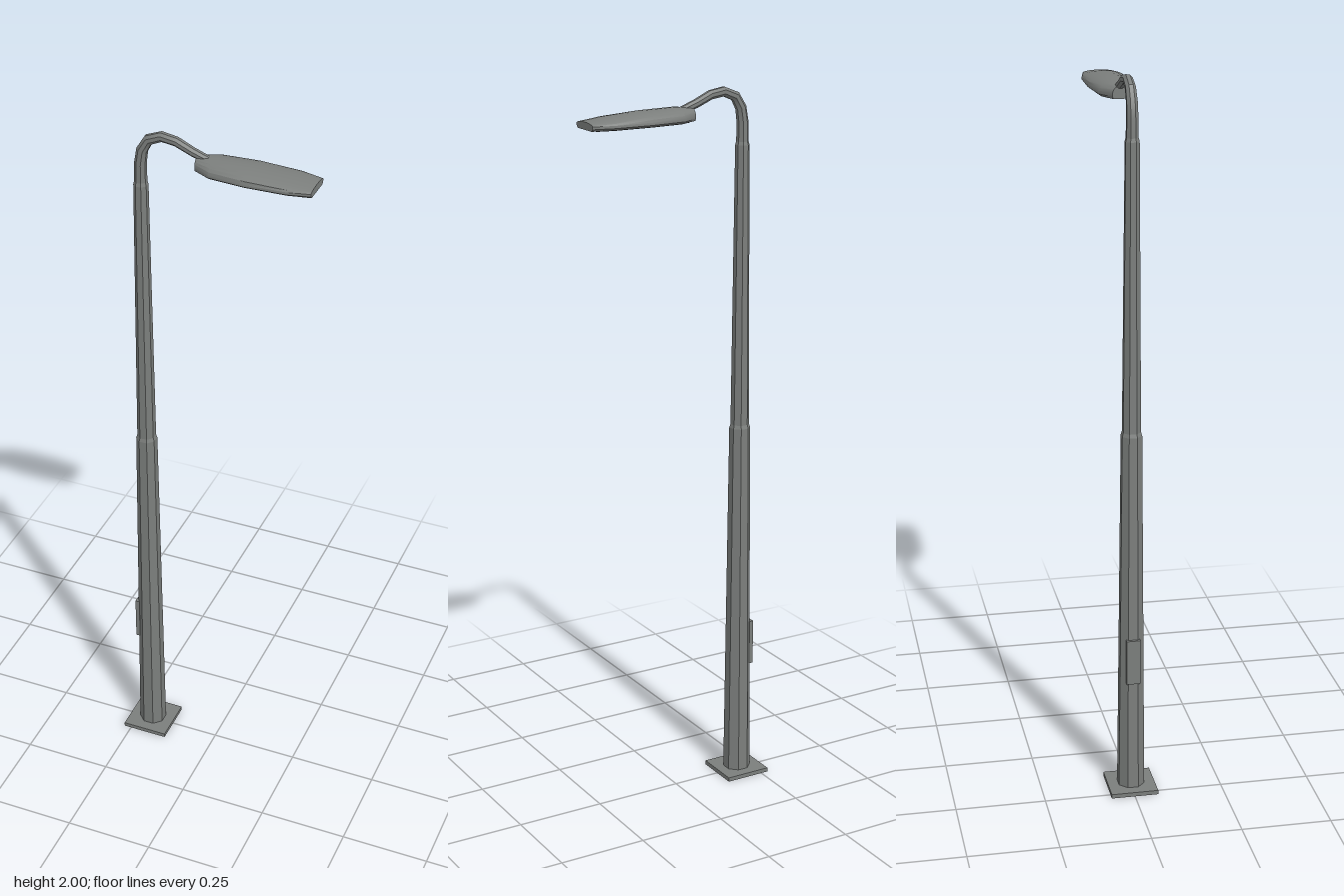
import * as THREE from 'three';
import { toCreasedNormals } from 'three/addons/utils/BufferGeometryUtils.js';

const POLE_X = -0.205;

// Closed skin with end caps over rings of [x, y, z], all with the same point count
function loft(rings) {
  const n = rings[0].length, last = (rings.length - 1) * n, index = [];
  for (let i = 0; i < rings.length - 1; i++) {
    for (let j = 0; j < n; j++) {
      const a = i * n + j, b = i * n + (j + 1) % n;
      index.push(a, b, a + n, b, b + n, a + n);
    }
  }
  for (let j = 1; j < n - 1; j++) index.push(0, j + 1, j, last, last + j, last + j + 1);
  const g = new THREE.BufferGeometry();
  g.setAttribute('position', new THREE.Float32BufferAttribute(rings.flat(2), 3));
  g.setIndex(index);
  return g;
}

export function createModel() {
  const group = new THREE.Group();
  const metal = new THREE.MeshStandardMaterial({ color: 0x7b7e7c });
  const glass = new THREE.MeshStandardMaterial({ color: 0x1a1b1b });

  const add = (name, geometry, material = metal, x = 0, y = 0, z = 0) => {
    const mesh = new THREE.Mesh(toCreasedNormals(geometry, 0.5), material);
    mesh.name = name;
    mesh.position.set(x, y, z);
    group.add(mesh);
  };

  // Octagonal pole section; radii are measured to the flats
  const section = (name, r0, r1, y0, y1) => {
    const k = 1 / Math.cos(Math.PI / 8);
    const g = new THREE.CylinderGeometry(r1 * k, r0 * k, y1 - y0, 8);
    g.rotateY(Math.PI / 8);
    add(name, g, metal, POLE_X, (y0 + y1) / 2);
  };

  // Foot and pole
  add('basePlate', new THREE.BoxGeometry(0.132, 0.012, 0.132), metal, POLE_X, 0.006);
  section('lowerPole', 0.036, 0.027, 0.012, 1.05);
  section('poleJoint', 0.027, 0.024, 1.05, 1.06);
  section('upperPole', 0.024, 0.018, 1.06, 1.84);
  section('poleCollar', 0.018, 0.0155, 1.84, 1.85);
  add('serviceDoor', new THREE.BoxGeometry(0.012, 0.13, 0.038), metal, POLE_X - 0.034, 0.4);

  // Curved arm, tapering towards the lamp head
  const path = [
    [POLE_X, 1.84], [POLE_X, 1.9], [-0.199, 1.94], [-0.181, 1.971],
    [-0.145, 1.986], [-0.105, 1.98], [-0.06, 1.96], [-0.012, 1.943],
  ];
  const armRings = path.map(([x, y], i) => {
    const p = path[Math.max(i - 1, 0)], q = path[Math.min(i + 1, path.length - 1)];
    const len = Math.hypot(q[0] - p[0], q[1] - p[1]);
    const tx = (q[0] - p[0]) / len, ty = (q[1] - p[1]) / len;
    const r = 0.017 - 0.006 * i / (path.length - 1);
    return Array.from({ length: 8 }, (_, j) => {
      const a = (j + 0.5) * Math.PI / 4, c = r * Math.cos(a);
      return [x - ty * c, y + tx * c, r * Math.sin(a)];
    });
  });
  add('arm', loft(armRings));

  // Lamp head: stations of x, half width, top height
  const stations = [
    [-0.048, 0.021, 1.952], [0, 0.05, 1.956], [0.1, 0.06, 1.954],
    [0.21, 0.057, 1.946], [0.27, 0.044, 1.938],
  ];
  const headRings = stations.map(([x, w, top]) => {
    const ring = [];
    for (let j = 0; j <= 10; j++) {
      const a = (j / 10 - 0.5) * Math.PI;
      ring.push([x, 1.931 + (top - 1.931) * Math.cos(a), w * Math.sin(a)]);
    }
    ring.push([x, 1.924, w], [x, 1.918, w * 0.86], [x, 1.918, -w * 0.86], [x, 1.924, -w]);
    return ring;
  });
  add('lampHead', loft(headRings));

  // Dark glass plate underneath
  const panel = [[-0.025, 0.026], [0.005, 0.041], [0.1, 0.048], [0.205, 0.046], [0.255, 0.037]];
  add('lampGlass', loft(panel.map(([x, w]) => [
    [x, 1.919, -w], [x, 1.919, w], [x, 1.9165, w], [x, 1.9165, -w],
  ])), glass);

  return group;
}
